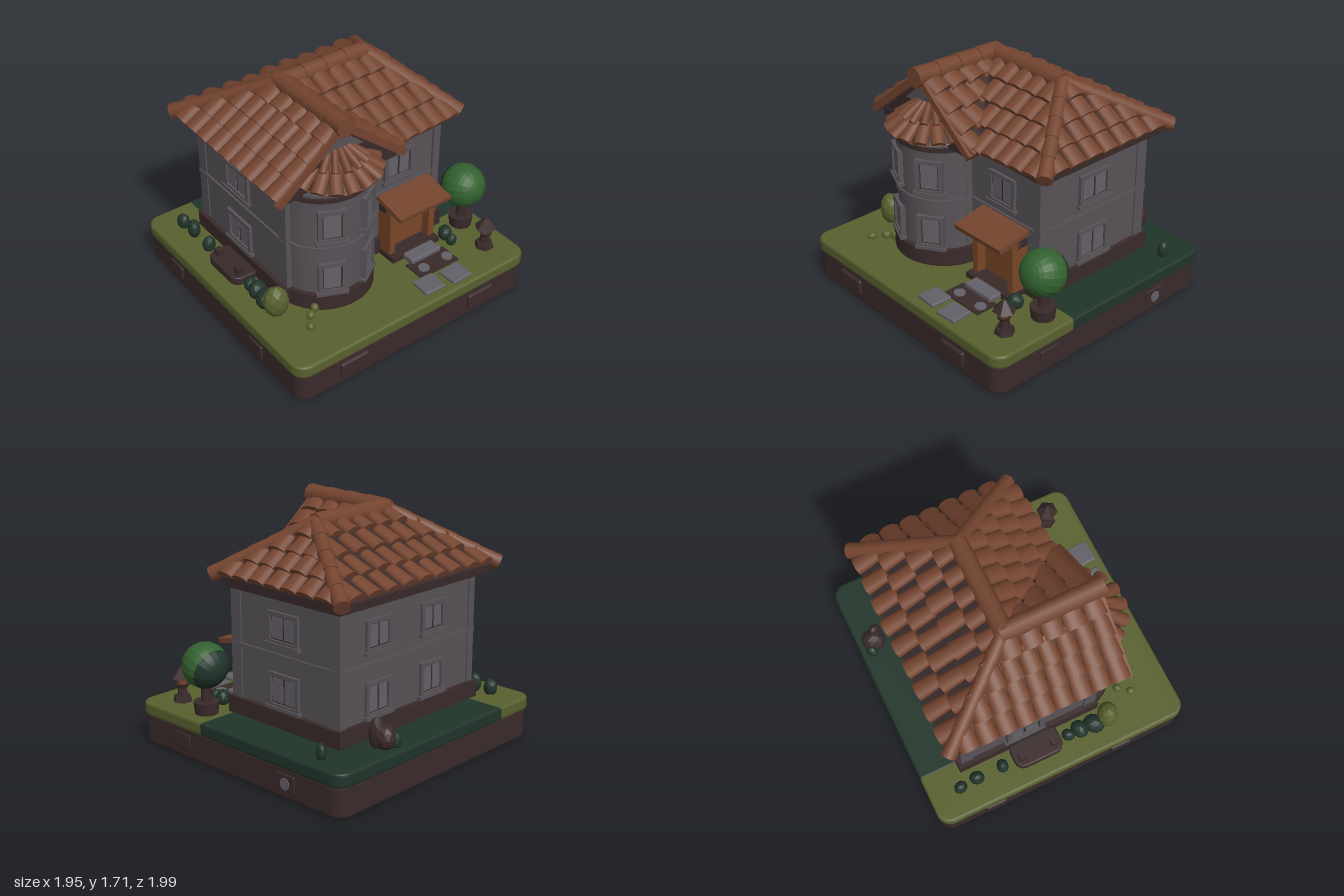
import * as THREE from 'three';
import { mergeGeometries } from 'three/addons/utils/BufferGeometryUtils.js';
import { RoundedBoxGeometry } from 'three/addons/geometries/RoundedBoxGeometry.js';

const paint = (name, color) => Object.assign(new THREE.MeshStandardMaterial({ color }), { name });
const V = (x, y, z) => new THREE.Vector3(x, y, z);
let seed = 7;
const rnd = () => (seed = (seed * 16807) % 2147483647) / 2147483647;

export function createModel() {
  const M = {
    soil: paint('soil brown', 0x3a2a2a), grass: paint('grass', 0x58602e), shade: paint('dark green', 0x20342a),
    wall: paint('wall grey', 0x575257), stone: paint('stone grey', 0x636067), roof: paint('roof tile', 0x74442f),
    timber: paint('dark timber', 0x38292a), door: paint('door wood', 0x784628), leaf: paint('tree green', 0x33612f),
  };
  M.timber.side = THREE.DoubleSide;
  const root = new THREE.Group();
  root.name = 'house';
  const add = (name, geo, mat, x = 0, y = 0, z = 0, parent = root) => {
    const m = new THREE.Mesh(geo, mat);
    m.name = name;
    m.position.set(x, y, z);
    parent.add(m);
    return m;
  };
  const box = (w, h, d) => new THREE.BoxGeometry(w, h, d);
  const facet = (g) => { const n = g.index ? g.toNonIndexed() : g; n.computeVertexNormals(); return n; };

  // Upright prism from a floor outline given as [x, z]
  const lift = (shape, y0, y1, bevel = 0) => {
    const g = new THREE.ExtrudeGeometry(shape, {
      depth: y1 - y0 - 2 * bevel, bevelEnabled: bevel > 0, bevelSize: bevel, bevelOffset: -bevel,
      bevelThickness: bevel, bevelSegments: 3, curveSegments: 8,
    });
    return g.rotateX(-Math.PI / 2).translate(0, y0 + bevel, 0);
  };
  const prism = (pts, y0, y1) => lift(new THREE.Shape(pts.map(([x, z]) => new THREE.Vector2(x, -z))), y0, y1);
  const roundRect = (x0, x1, z0, z1, r) => {
    const s = new THREE.Shape();
    s.absarc(x1 - r, -z0 - r, r, 0, Math.PI / 2);
    s.absarc(x0 + r, -z0 - r, r, Math.PI / 2, Math.PI);
    s.absarc(x0 + r, -z1 + r, r, Math.PI, Math.PI * 1.5);
    s.absarc(x1 - r, -z1 + r, r, Math.PI * 1.5, Math.PI * 2);
    return s;
  };

  // Plinth, lawn and the darker lawn strip
  add('plinth', lift(roundRect(-0.97, 0.95, -0.98, 0.98, 0.1), 0, 0.22, 0.02), M.soil);
  add('lawn', lift(roundRect(-0.98, 0.955, -0.99, 0.99, 0.1), 0.205, 0.3, 0.02), M.grass);
  const strip = new THREE.Shape();
  strip.moveTo(-0.982, -0.62).lineTo(-0.982, 0.892).absarc(-0.882, 0.892, 0.1, Math.PI, Math.PI / 2, true);
  strip.lineTo(0.3, 0.992).lineTo(0.3, 0.65).lineTo(-0.65, 0.65).lineTo(-0.65, -0.62);
  add('darkLawn', lift(strip, 0.207, 0.303, 0.018), M.shade);
  for (const s of [-1, 1]) {
    add('frontPlaque', new RoundedBoxGeometry(0.16, 0.11, 0.03, 3, 0.014), M.soil, s * 0.5 - 0.06, 0.12, 0.98);
    add('sidePlaque', new RoundedBoxGeometry(0.04, 0.12, 0.23, 3, 0.018), M.soil, 0.952, 0.12, s * 0.55);
    add('backPlaque', new RoundedBoxGeometry(0.16, 0.11, 0.02, 3, 0.009), M.soil, s * 0.5, 0.12, -0.98);
  }
  add('backStud', new THREE.CylinderGeometry(0.04, 0.04, 0.012, 16).rotateX(Math.PI / 2), M.stone, -0.5, 0.11, -0.99);

  // Walls, bay, foundation and bands
  const plan = (o) => [[-0.67 - o, 0.66 + o], [0.35 + o, 0.66 + o], [0.35 + o, 0], [0.3 + o, 0], [0.3 + o, -0.67 - o], [-0.67 - o, -0.67 - o]];
  const storey = (name, o, y0, y1, mat) => {
    add(name, prism(plan(o), y0, y1), mat);
    add(name + 'Bay', new THREE.CylinderGeometry(0.325 + o, 0.325 + o, y1 - y0, 32), mat, 0.28, (y0 + y1) / 2, 0.32);
  };
  storey('walls', 0, 0.4, 1.22, M.wall);
  storey('foundation', 0.035, 0.29, 0.42, M.soil);
  storey('band', 0.014, 0.775, 0.805, M.wall);
  storey('cornice', 0.016, 1.17, 1.2, M.timber);
  for (const [x, z] of [[-0.635, 0.64], [0.325, 0.64], [-0.635, -0.65], [0.27, -0.65]])
    add('cornerPilaster', box(0.09, 0.78, 0.06), M.wall, x, 0.8, z);

  // Windows
  const windowAt = (x, y, z, turn, w, h, split = true) => {
    const g = new THREE.Group();
    g.name = 'window';
    g.position.set(x, y, z);
    g.rotation.y = turn;
    root.add(g);
    const rect = (a, b, T) => {
      const s = new T();
      return s.moveTo(-a, -b).lineTo(a, -b).lineTo(a, b).lineTo(-a, b).closePath();
    };
    const s = rect(w / 2, h / 2, THREE.Shape);
    s.holes.push(rect(w / 2 - 0.028, h / 2 - 0.028, THREE.Path));
    add('frame', new THREE.ExtrudeGeometry(s, { depth: 0.04, bevelEnabled: false }), M.wall, 0, 0, -0.018, g);
    add('recess', box(w - 0.04, h - 0.04, 0.006), M.timber, 0, 0, 0.003, g);
    const n = split ? 2 : 1, pw = (w - 0.056) / n;
    for (let i = 0; i < n; i++)
      add('pane', box(pw - 0.018, h - 0.076, 0.008), M.stone, (i - (n - 1) / 2) * pw, 0, 0.008, g);
    add('sill', box(w + 0.03, 0.022, 0.05), M.wall, 0, -h / 2, 0.008, g);
  };
  for (const [y, h] of [[0.98, 0.22], [0.555, 0.24]]) {
    windowAt(-0.19, y, 0.66, 0, 0.28, h);
    windowAt(-0.18, y, -0.67, Math.PI, 0.28, h);
    for (const z of [-0.32, 0.22]) windowAt(-0.67, y, z, -Math.PI / 2, 0.24, h);
    for (const a of [0.42, -0.58])
      windowAt(0.28 + 0.325 * Math.cos(a), y, 0.32 + 0.325 * Math.sin(a), Math.PI / 2 - a, 0.19, 0.25, false);
  }
  windowAt(0.3, 0.98, -0.315, Math.PI / 2, 0.25, 0.23);

  // Roof slope: a deck plus rows of barrel tiles between an eave and a ridge
  const barrel = new THREE.CylinderGeometry(0.42, 0.5, 1, 8, 1, false, -Math.PI / 2, Math.PI).rotateX(-Math.PI / 2);
  const slope = (name, e0, e1, r0, r1, rows, width, fill = 1.06, long = 1.2) => {
    const deck = new THREE.BufferGeometry().setFromPoints([e0, e1, r1, e0, r1, r0]);
    deck.computeVertexNormals();
    add(name + 'Deck', deck, M.timber);
    const across = e1.clone().sub(e0).normalize();
    const rise = r0.clone().add(r1).sub(e0).sub(e1).multiplyScalar(0.5);
    const normal = across.clone().cross(rise).normalize();
    if (normal.y < 0) normal.negate();
    const down = rise.clone().addScaledVector(across, -rise.dot(across)).negate();
    const len = down.length() / rows;
    const zAxis = down.clone().normalize().addScaledVector(normal, 0.12).normalize();
    const yAxis = normal.clone().addScaledVector(zAxis, -normal.dot(zAxis)).normalize();
    const xAxis = yAxis.clone().cross(zAxis);
    const tiles = [];
    for (let i = 0; i < rows; i++) {
      const t = (i + 0.5) / rows, a = e0.clone().lerp(r0, t), b = e1.clone().lerp(r1, t);
      const span = a.distanceTo(b), n = Math.max(1, Math.round(span / width));
      for (let k = 0; k < n; k++) {
        const p = a.clone().lerp(b, (k + 0.5) / n).addScaledVector(normal, 0.004 + rnd() * 0.008);
        const m = new THREE.Matrix4().makeBasis(xAxis, yAxis, zAxis).setPosition(p);
        m.scale(V((span / n) * fill, 0.075 + rnd() * 0.02, len * (long + rnd() * 0.08)));
        tiles.push(barrel.clone().applyMatrix4(m));
      }
    }
    add(name + 'Tiles', mergeGeometries(tiles), M.roof);
  };
  const A = V(-0.79, 1.27, 0.78), B = V(0.49, 1.26, 0.78), C = V(-0.79, 1.27, -0.78), D = V(0.38, 1.27, -0.78);
  const R0 = V(-0.17, 1.63, -0.37), R1 = V(-0.17, 1.63, 0.3), G = V(0.49, 1.64, 0.3);
  const E = V(0.42, 1.25, -0.19), F = V(0.49, 1.24, -0.2);
  slope('frontRoof', A, B, R1, G, 4, 0.135);
  slope('leftRoof', C, A, R0, R1, 4, 0.16, 0.8, 0.95);
  slope('backRoof', D, C, R0, R0, 4, 0.14, 0.98, 1.05);
  slope('rightRoof', D, E, R0, R1, 4, 0.13);
  slope('gableRoof', E, F, R1, G, 4, 0.14);
  add('soffit', prism([[-0.75, 0.74], [0.46, 0.74], [0.46, -0.17], [0.35, -0.17], [0.35, -0.74], [-0.75, -0.74]], 1.2, 1.26), M.timber);

  // Ridge and hip caps made of overlapping barrels
  const caps = (name, a, b, r, n) => {
    const d = b.clone().sub(a), parts = [];
    const q = new THREE.Quaternion().setFromUnitVectors(V(0, 1, 0), d.clone().normalize());
    for (let i = 0; i < n; i++) {
      const p = a.clone().addScaledVector(d, (i + 0.5) / n);
      const g = new THREE.CylinderGeometry(r * 0.9, r, (d.length() / n) * 1.08, 10).applyQuaternion(q);
      parts.push(g.translate(p.x, p.y, p.z));
    }
    add(name, mergeGeometries(parts), M.roof);
  };
  caps('mainRidge', R1, R0, 0.07, 4);
  caps('gableRidge', V(0.52, 1.64, 0.3), V(-0.2, 1.63, 0.3), 0.072, 4);
  caps('hipFrontLeft', A, R1, 0.055, 5);
  caps('hipBackLeft', C, R0, 0.055, 5);
  caps('hipBackRight', D, R0, 0.055, 5);

  // Gable end with barge boards
  const gable = (name, h, top, bottom, x, mat) => {
    const s = new THREE.Shape().moveTo(-0.3 - h, bottom).lineTo(-0.3 + h, bottom).lineTo(-0.3, top).closePath();
    add(name, new THREE.ExtrudeGeometry(s, { depth: 0.02, bevelEnabled: false }).rotateY(Math.PI / 2), mat, x);
  };
  gable('gableEnd', 0.44, 1.61, 1.25, 0.43, M.timber);
  gable('gablePanel', 0.19, 1.58, 1.42, 0.436, M.wall);
  for (const s of [-1, 1]) {
    const board = add('bargeBoard', box(0.04, 0.05, 0.65), M.roof, 0.485, 1.435, 0.3 + s * 0.25);
    board.rotation.x = s * 0.68;
  }

  // Rounded roof over the bay
  add('bayRoofCore', new THREE.CylinderGeometry(0.09, 0.29, 0.19, 20), M.roof, 0.38, 1.335, 0.29);
  const ring = (a, r, y) => V(0.38 + r * Math.cos(a), y, 0.29 + r * Math.sin(a));
  for (let i = 0; i < 8; i++) {
    const a = -Math.PI / 2 + (i * Math.PI) / 8, b = a + Math.PI / 8;
    slope('bayRoof', ring(a, 0.29, 1.25), ring(b, 0.29, 1.25), ring(a, 0.09, 1.43), ring(b, 0.09, 1.43), 2, 0.14);
  }

  // Porch
  for (const z of [-0.18, -0.53]) add('porchPost', box(0.13, 0.38, 0.05), M.door, 0.37, 0.52, z);
  add('porchBeam', box(0.13, 0.05, 0.4), M.timber, 0.37, 0.69, -0.355);
  add('door', box(0.03, 0.36, 0.3), M.door, 0.35, 0.51, -0.355);
  add('porchRoof', box(0.3, 0.035, 0.45), M.roof, 0.42, 0.755, -0.355).rotation.z = -0.2;
  add('porchFloor', box(0.18, 0.05, 0.42), M.soil, 0.4, 0.315, -0.355);
  add('doorStep', new RoundedBoxGeometry(0.11, 0.045, 0.26, 2, 0.012), M.stone, 0.53, 0.32, -0.37);

  // Path
  add('pathBed', box(0.17, 0.016, 0.34), M.soil, 0.645, 0.302, -0.37);
  for (const z of [-0.49, -0.28]) add('roundStone', new THREE.CylinderGeometry(0.04, 0.045, 0.022, 10), M.stone, 0.66, 0.31, z);
  for (const [x, z, t] of [[0.83, -0.42, 0.06], [0.81, -0.2, -0.05]])
    add('pavingStone', new RoundedBoxGeometry(0.16, 0.03, 0.17, 2, 0.012), M.stone, x, 0.308, z).rotation.y = t;

  // Front planter
  add('planter', lift(roundRect(-0.33, 0.04, 0.66, 0.87, 0.07), 0.29, 0.36, 0.012), M.soil);
  for (const x of [-0.27, -0.02]) add('planterPeg', box(0.05, 0.06, 0.05), M.soil, x, 0.375, 0.8);

  // Tree in a round tub
  add('treeTub', new THREE.CylinderGeometry(0.09, 0.08, 0.09, 12), M.soil, 0.42, 0.34, -0.83);
  add('treeTrunk', new THREE.CylinderGeometry(0.03, 0.04, 0.16, 8), M.soil, 0.42, 0.44, -0.83);
  for (const [name, from, size, mat] of [['treeShade', 0, 0.38, M.shade], ['treeCrown', 0.38, 0.62, M.leaf]])
    add(name, facet(new THREE.SphereGeometry(0.16, 18, 10, 0, Math.PI * 2, Math.PI * from, Math.PI * size)), mat, 0.42, 0.64, -0.83).rotation.z = Math.PI / 2 + 0.3;

  // Garden lantern
  const lantern = [[0.06, 0.07, 0.04, 0.32, M.soil], [0.03, 0.04, 0.08, 0.37, M.soil], [0.05, 0.04, 0.025, 0.415, M.soil],
    [0.032, 0.032, 0.05, 0.45, M.door], [0.012, 0.08, 0.08, 0.51, M.soil]];
  for (const [a, b, h, y, mat] of lantern) add('lantern', facet(new THREE.CylinderGeometry(a, b, h, 6)), mat, 0.72, y, -0.79);

  // Shrubs and stump: [x, z, radius, height, colour]
  const plants = [
    [0.41, 0.79, 0.09, 0.22, M.grass], [0.3, 0.8, 0.08, 0.13, M.shade], [0.19, 0.79, 0.07, 0.12, M.shade], [0.1, 0.79, 0.05, 0.09, M.shade],
    [-0.75, 0.8, 0.05, 0.11, M.shade], [-0.62, 0.79, 0.055, 0.13, M.shade], [-0.42, 0.79, 0.05, 0.11, M.shade],
    [0.48, -0.63, 0.06, 0.1, M.shade], [0.56, -0.62, 0.04, 0.08, M.shade], [-0.7, -0.87, 0.04, 0.11, M.shade],
    [0.54, 0.57, 0.035, 0.06, M.grass], [0.58, 0.63, 0.035, 0.05, M.grass], [0.66, 0.69, 0.035, 0.04, M.grass],
    [-0.86, -0.46, 0.09, 0.16, M.soil], [-0.83, -0.5, 0.055, 0.21, M.soil], [-0.9, -0.4, 0.05, 0.1, M.shade],
  ];
  for (const [x, z, r, h, mat] of plants) {
    const p = add('shrub', facet(new THREE.IcosahedronGeometry(1, 1)), mat, x, 0.29 + h / 2, z);
    p.scale.set(r, h / 2 + 0.01, r * 0.85);
    p.rotation.y = rnd() * 3;
  }
  return root;
}
